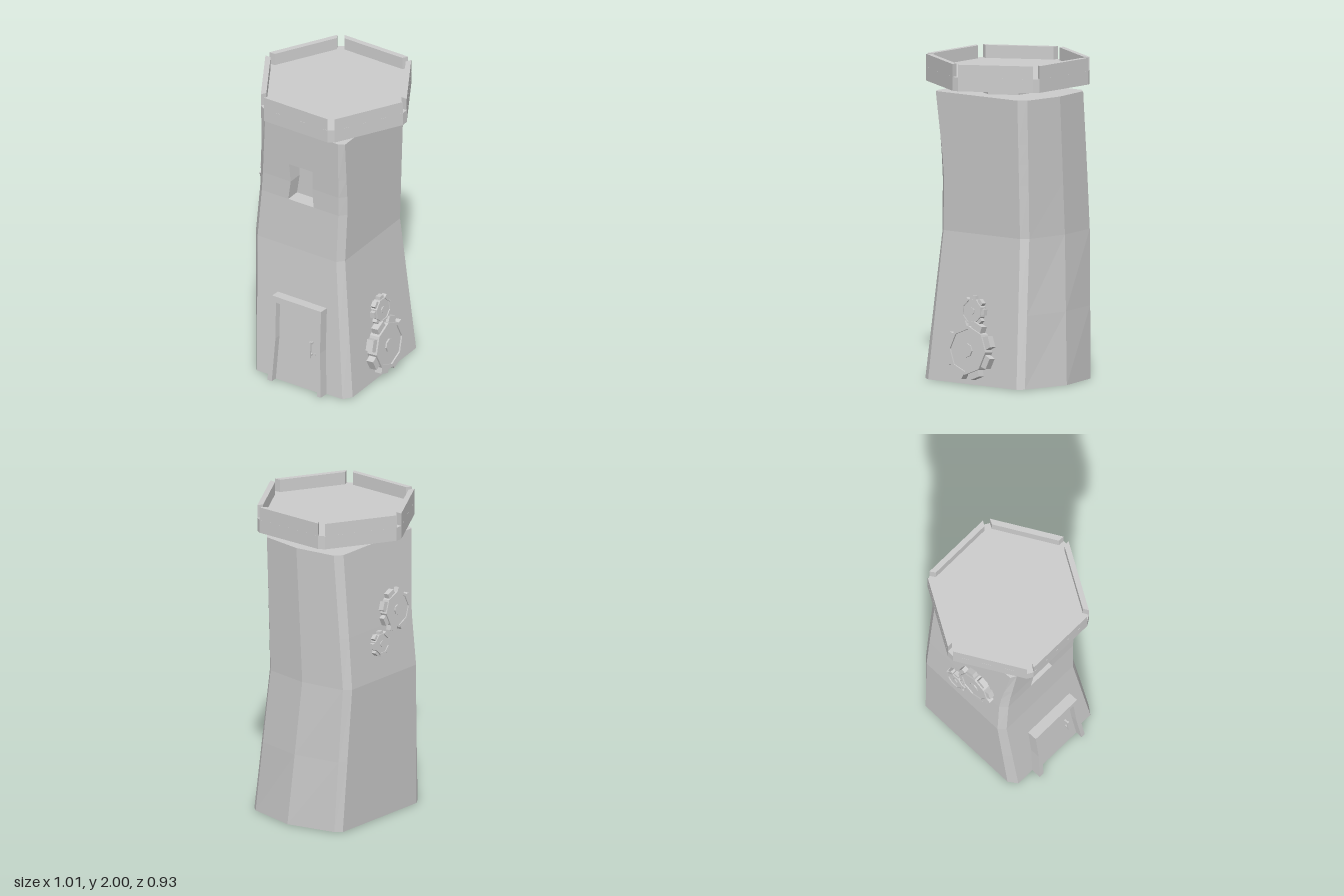
import * as THREE from 'three';

const mat = new THREE.MeshStandardMaterial({ color: 0xcccccc, flatShading: true });

function add(parent, name, geometry, x = 0, y = 0, z = 0) {
  const m = new THREE.Mesh(geometry, mat);
  m.name = name;
  m.position.set(x, y, z);
  parent.add(m);
  return m;
}

function polygon(points) {
  return new THREE.Shape(points.map(([x, y]) => new THREE.Vector2(x, y)));
}

function regular(radius, sides, offset = 0) {
  return Array.from({ length: sides }, (_, i) => {
    const a = offset + (i / sides) * Math.PI * 2;
    return [Math.cos(a) * radius, Math.sin(a) * radius];
  });
}

const extrude = (shape, depth) => new THREE.ExtrudeGeometry(shape, { depth, bevelEnabled: false });
const slab = (points, height) => extrude(polygon(points), height).rotateX(-Math.PI / 2);

// Tower profile: y, left x, right x, front z, side front z, side back z, back z, back ridge z
const KEYS = [
  [0, -0.357, 0.35, 0.4, 0.345, -0.36, -0.395, -0.467],
  [0.92, -0.394, 0.262, 0.335, 0.295, -0.315, -0.357, -0.4],
  [1.3, -0.365, 0.273, 0.325, 0.283, -0.315, -0.36, -0.4],
  [1.78, -0.325, 0.288, 0.357, 0.336, -0.315, -0.362, -0.4],
];

function profileAt(y) {
  let i = 0;
  while (i < KEYS.length - 2 && y > KEYS[i + 1][0]) i++;
  const [a, b] = [KEYS[i], KEYS[i + 1]];
  const t = (y - a[0]) / (b[0] - a[0]);
  return a.map((v, k) => v + (b[k] - v) * t);
}

// Chamfered cross-section; points 1 and 2 carry the window edges
function ringAt([y, wl, wr]) {
  const [, l, r, f, sf, sb, b, ridge] = profileAt(y);
  const c = 0.039;
  return [
    [l + c, f], [wl, f], [wr, f], [r - c, f], [r, sf], [r, sb],
    [r - c, b], [(l + r) / 2, ridge], [l + c, b], [l, sb], [l, sf],
  ].map(([x, z]) => [x, y, z]);
}

function towerGeometry() {
  const rings = [
    [0, -0.13, 0.05], [0.45, -0.13, 0.05], [0.92, -0.13, 0.05], [1.248, -0.135, 0.05],
    [1.38, -0.115, 0.045], [1.508, -0.122, 0.052], [1.78, -0.122, 0.052],
  ].map(ringAt);
  const pos = [];
  const tri = (...p) => p.forEach((v) => pos.push(...v));
  const quad = (a, b, c, d) => { tri(a, b, c); tri(a, c, d); };
  const inset = ([x, y]) => [x, y, 0.23];
  const n = rings[0].length;

  for (let i = 0; i < rings.length - 1; i++) {
    const [lo, hi] = [rings[i], rings[i + 1]];
    for (let j = 0; j < n; j++) {
      const k = (j + 1) % n;
      if (j === 1 && (i === 3 || i === 4)) {
        // Window recess: jambs and back
        quad(lo[1], inset(lo[1]), inset(hi[1]), hi[1]);
        quad(inset(lo[2]), lo[2], hi[2], inset(hi[2]));
        quad(inset(lo[1]), inset(lo[2]), inset(hi[2]), inset(hi[1]));
      } else quad(lo[j], lo[k], hi[k], hi[j]);
    }
  }
  // Window sill and head
  const [s, h] = [rings[3], rings[5]];
  quad(s[1], s[2], inset(s[2]), inset(s[1]));
  quad(inset(h[1]), inset(h[2]), h[2], h[1]);
  // Bottom and top caps
  const [bottom, top] = [rings[0], rings[rings.length - 1]];
  for (let j = 0; j < n; j++) {
    const k = (j + 1) % n;
    tri([0, 0, 0], bottom[k], bottom[j]);
    tri([0, 1.78, 0], top[j], top[k]);
  }
  const g = new THREE.BufferGeometry();
  g.setAttribute('position', new THREE.Float32BufferAttribute(pos, 3));
  g.computeVertexNormals();
  return g;
}

// Door leaning with the front wall
function makeDoor() {
  const door = new THREE.Group();
  door.name = 'door';
  const outer = [[0.195, 0], [0.175, 0.3], [0.17, 0.585], [-0.19, 0.585], [-0.185, 0.3], [-0.197, 0]];
  const inner = [[-0.165, 0], [-0.152, 0.3], [-0.16, 0.545], [0.137, 0.545], [0.145, 0.3], [0.168, 0]];
  add(door, 'doorFrame', extrude(polygon([...outer, ...inner]), 0.095), 0, 0, -0.03);
  add(door, 'doorPanel', extrude(polygon(inner), 0.045), 0, 0, -0.025);
  add(door, 'doorHandle', new THREE.BoxGeometry(0.014, 0.11, 0.012), 0.09, 0.29, 0.048);
  for (const y of [0.25, 0.33])
    add(door, 'handlePost', new THREE.BoxGeometry(0.01, 0.012, 0.03), 0.09, y, 0.03);
  add(door, 'keyhole', new THREE.BoxGeometry(0.008, 0.012, 0.006), 0.115, 0.255, 0.021);
  door.position.z = 0.4;
  door.rotation.x = -0.0706;
  return door;
}

// Gear facing +z, with its back on z = 0
function makeGear(name, radius, depth, phase) {
  const gear = new THREE.Group();
  gear.name = name;
  const body = radius * 0.84;
  const turn = phase + Math.PI / 8;
  const rim = polygon(regular(body, 8, turn));
  rim.holes.push(polygon(regular(body * 0.87, 8, turn)));
  add(gear, 'gearRim', extrude(rim, depth));
  add(gear, 'gearPlate', extrude(polygon(regular(body * 0.88, 8, turn)), depth * 0.85));
  add(gear, 'gearHub', extrude(polygon(regular(radius * 0.24, 8, turn)), depth));
  const w = radius * 0.2;
  const tooth = polygon([[body * 0.88, -w * 1.15], [radius, -w], [radius, w], [body * 0.88, w * 1.15]]);
  for (let i = 0; i < 8; i++)
    add(gear, 'gearTooth', extrude(tooth, depth * 0.7), 0, 0, depth * 0.13).rotation.z = phase + (i * Math.PI) / 4;
  return gear;
}

// Place a gear on a side wall, tilted to match it
function placeGear(parent, gear, side, y, z, tilt) {
  const p = profileAt(y);
  gear.position.set(side > 0 ? p[2] : p[1], y, z);
  gear.rotation.set(0, (side * Math.PI) / 2, side * tilt, 'ZYX');
  parent.add(gear);
}

export function createModel() {
  const model = new THREE.Group();
  model.name = 'tower';
  add(model, 'towerBody', towerGeometry());
  model.add(makeDoor());

  placeGear(model, makeGear('largeRightGear', 0.18, 0.07, Math.PI / 8), 1, 0.21, 0, 0.096);
  placeGear(model, makeGear('smallRightGear', 0.095, 0.045, 0), 1, 0.45, 0, 0.096);
  placeGear(model, makeGear('largeLeftGear', 0.135, 0.05, Math.PI / 8), -1, 1.33, 0.105, 0.08);
  placeGear(model, makeGear('smallLeftGear', 0.08, 0.04, 0), -1, 1.15, -0.05, 0.08);

  // Neck and hexagonal platform with clipped corners
  add(model, 'neck', new THREE.CylinderGeometry(0.19, 0.19, 0.07, 6), 0, 1.8, 0).rotation.y = Math.PI / 2;
  add(model, 'platformUnderside', new THREE.CylinderGeometry(0.5, 0.28, 0.015, 6), 0, 1.8285, 0).rotation.y = Math.PI / 2;
  const deck = [];
  for (let i = 0; i < 6; i++) {
    const a = (i * Math.PI) / 3;
    for (const v of [-0.022, 0.022])
      deck.push([0.505 * Math.cos(a) - v * Math.sin(a), 0.505 * Math.sin(a) + v * Math.cos(a)]);
  }
  add(model, 'platform', slab(deck, 0.085), 0, 1.835, 0);

  // Parapet walls with gaps at the corners
  const wall = [[-0.234, -0.448], [0.234, -0.448], [0.212, -0.415], [-0.212, -0.415]];
  for (let i = 0; i < 6; i++)
    add(model, 'parapetWall', slab(wall, 0.08), 0, 1.92, 0).rotation.y = (i * Math.PI) / 3;
  return model;
}
